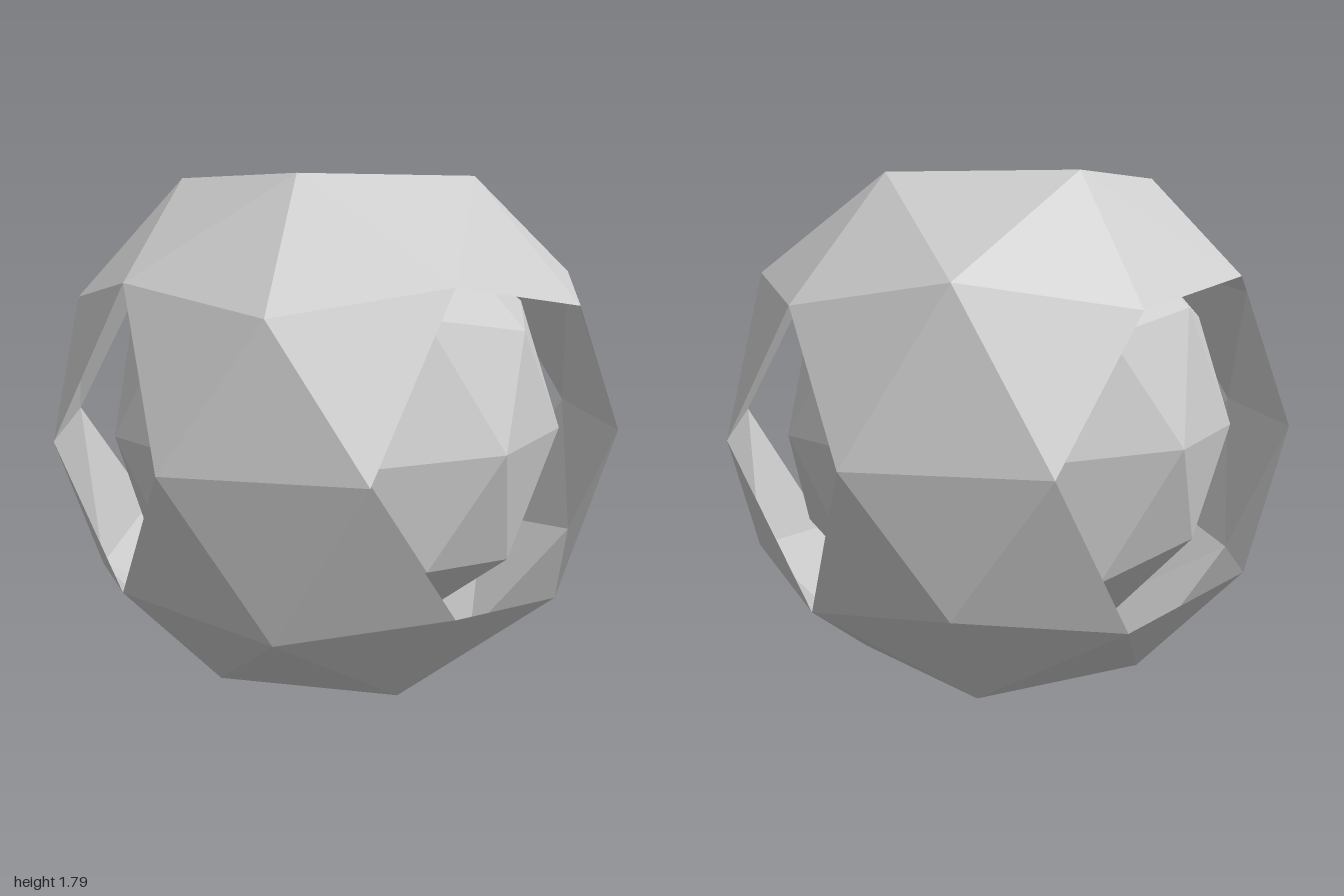
import * as THREE from 'three';

const OUTER = 1.0525;          // shell radius
const INNER = 0.842;           // core radius
const CENTRE_Y = OUTER * 0.8507; // half height of the shell once its poles are cut

// Faceted 80-sided ball, turned so that one five-way corner points straight up
function facetedBall(radius) {
  const g = new THREE.IcosahedronGeometry(radius, 1);
  g.rotateZ(-Math.atan(2 / (1 + Math.sqrt(5))));
  g.deleteAttribute('uv');
  g.computeVertexNormals();
  return g;
}

// Drop every facet whose centre lies close to the end of an axis
function cutAxisHoles(geometry, limit) {
  const p = geometry.attributes.position;
  const kept = [];
  const [a, b, c] = [0, 1, 2].map(() => new THREE.Vector3());
  for (let i = 0; i < p.count; i += 3) {
    [a, b, c].forEach((v, k) => v.fromBufferAttribute(p, i + k));
    const m = a.clone().add(b).add(c).divideScalar(3);
    if (Math.max(Math.abs(m.x), Math.abs(m.y), Math.abs(m.z)) > limit) continue;
    for (const v of [a, b, c]) kept.push(v.x, v.y, v.z);
  }
  const g = new THREE.BufferGeometry();
  g.setAttribute('position', new THREE.Float32BufferAttribute(kept, 3));
  g.computeVertexNormals();
  return g;
}

export function createModel() {
  const grey = new THREE.MeshStandardMaterial({
    color: 0xcccccc, flatShading: true, side: THREE.DoubleSide,
  });
  grey.name = 'light grey';

  const model = new THREE.Group();
  model.name = 'nestedFacetedSpheres';

  // Open outer shell with six holes: five-, six- and four-sided pairs
  const shell = new THREE.Mesh(cutAxisHoles(facetedBall(OUTER), 0.9), grey);
  shell.name = 'outerShell';

  // Closed ball inside
  const core = new THREE.Mesh(facetedBall(INNER), grey);
  core.name = 'innerCore';

  for (const part of [shell, core]) {
    part.position.y = CENTRE_Y;
    model.add(part);
  }
  return model;
}
